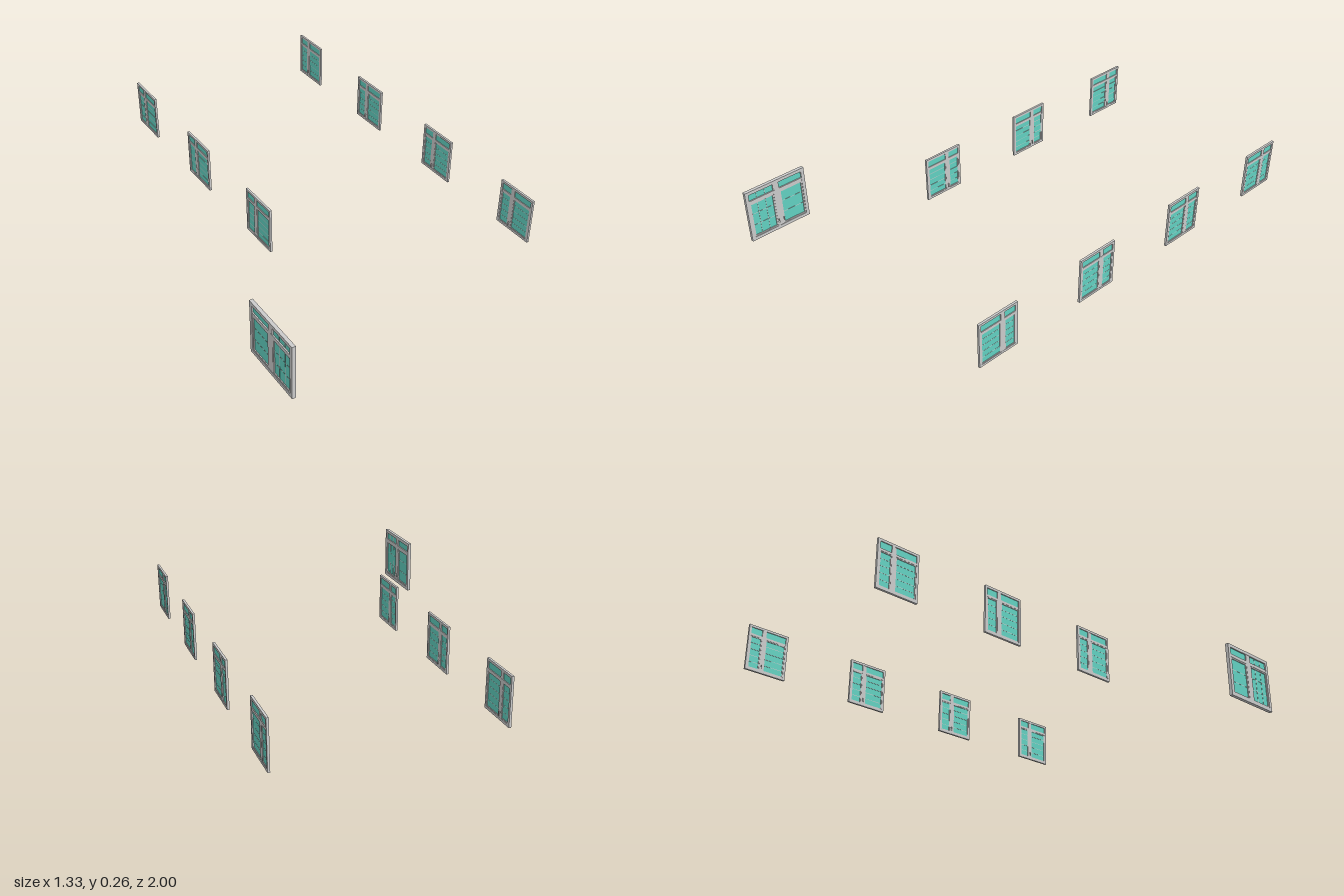
import * as THREE from 'three';

const frameMat = new THREE.MeshStandardMaterial({ color: 0xcccccc });
const glassMat = new THREE.MeshStandardMaterial({ color: 0x62d2c2 });

// Box given by its limits along z and y, centred on x
function slab(parent, name, z0, z1, y0, y1, depth, x = 0, mat = frameMat) {
  const mesh = new THREE.Mesh(new THREE.BoxGeometry(depth, y1 - y0, z1 - z0), mat);
  mesh.position.set(x, (y0 + y1) / 2, (z0 + z1) / 2);
  mesh.name = name;
  parent.add(mesh);
}

// Rectangular ring with a hole, extruded along x
function ring(parent, name, z0, z1, y0, y1, border, depth) {
  const rect = (P, b) => new P([
    new THREE.Vector2(z0 + b, y0 + b), new THREE.Vector2(z1 - b, y0 + b),
    new THREE.Vector2(z1 - b, y1 - b), new THREE.Vector2(z0 + b, y1 - b),
  ]);
  const shape = rect(THREE.Shape, 0);
  shape.holes.push(rect(THREE.Path, border));
  const geo = new THREE.ExtrudeGeometry(shape, { depth, bevelEnabled: false });
  geo.translate(0, 0, -depth / 2).rotateY(-Math.PI / 2);
  const mesh = new THREE.Mesh(geo, frameMat);
  mesh.name = name;
  parent.add(mesh);
}

// Short stalk with a hanging lever; side is the room side along x
function handle(parent, z, y, depth, side) {
  const g = new THREE.Group();
  g.name = 'handle';
  slab(g, 'handleStalk', z - 0.002, z + 0.002, y - 0.002, y + 0.003, 0.004, side * (depth / 2 + 0.002));
  slab(g, 'handleLever', z - 0.002, z + 0.002, y - 0.015, y + 0.003, 0.002, side * (depth / 2 + 0.004));
  parent.add(g);
}

// Window in the zy plane, z measured from its centre and y from its sill
function makeWindow(o) {
  const g = new THREE.Group();
  const h = o.width / 2, b = o.border, m = o.mullionWidth / 2, t = b * 0.4;
  ring(g, 'outerFrame', -h, h, 0, o.height, b, o.depth);
  slab(g, 'transom', -h + b, h - b, o.transom - b / 2, o.transom + b / 2, o.depth * 0.9);
  slab(g, 'mullion', o.mullion - m, o.mullion + m, b, o.height - b, o.depth * 0.85);
  slab(g, 'glass', -h + b, h - b, b, o.height - b, o.depth * 0.2, 0, glassMat);

  const bays = [[-h + b, o.mullion - m], [o.mullion + m, h - b]];
  const low = b, high = o.transom - b / 2;
  bays.forEach(([z0, z1], i) => {
    // Slim sash below the transom
    ring(g, 'sash', z0, z1, low, high, t, o.depth * 0.7);
    for (let k = 1; k <= o.rows; k++) {
      const y = low + (high - low) * k / (o.rows + 1);
      slab(g, 'horizontalGlazingBar', z0, z1, y - 0.001, y + 0.001, o.depth * 0.3);
    }
    for (let k = 1; k <= o.columns[i]; k++) {
      const z = z0 + (z1 - z0) * k / (o.columns[i] + 1);
      slab(g, 'verticalGlazingBar', z - 0.001, z + 0.001, low, o.height - b, o.depth * 0.32);
    }
  });
  o.handles.forEach(z => handle(g, z, o.handleY, o.depth, o.side));
  return g;
}

export function createModel() {
  const model = new THREE.Group();
  model.name = 'windowSet';

  // Two facing rows of small windows, handles toward each other
  const rows = [
    { x: 0.658, side: -1, name: 'leftRowWindow', zs: [-0.902, -0.363, 0.175, 0.714] },
    { x: -0.309, side: 1, name: 'rightRowWindow', zs: [-0.902, -0.363, 0.175] },
  ];
  for (const row of rows) {
    row.zs.forEach((z, i) => {
      const w = makeWindow({
        width: 0.196, height: 0.217, depth: 0.01, border: 0.011,
        transom: 0.17, mullion: -0.022, mullionWidth: 0.02,
        rows: 4, columns: [0, 0], handles: [-0.022], handleY: 0.034, side: row.side,
      });
      w.name = row.name + (i + 1);
      w.position.set(row.x, 0.048, z);
      model.add(w);
    });
  }

  // Large double window standing on the ground
  const large = makeWindow({
    width: 0.3, height: 0.259, depth: 0.016, border: 0.016,
    transom: 0.202, mullion: -0.002, mullionWidth: 0.03,
    rows: 2, columns: [0, 2], handles: [-0.018, 0.008], handleY: 0.05, side: 1,
  });
  large.name = 'largeWindow';
  large.position.set(-0.655, 0, 0.85);
  model.add(large);
  return model;
}
